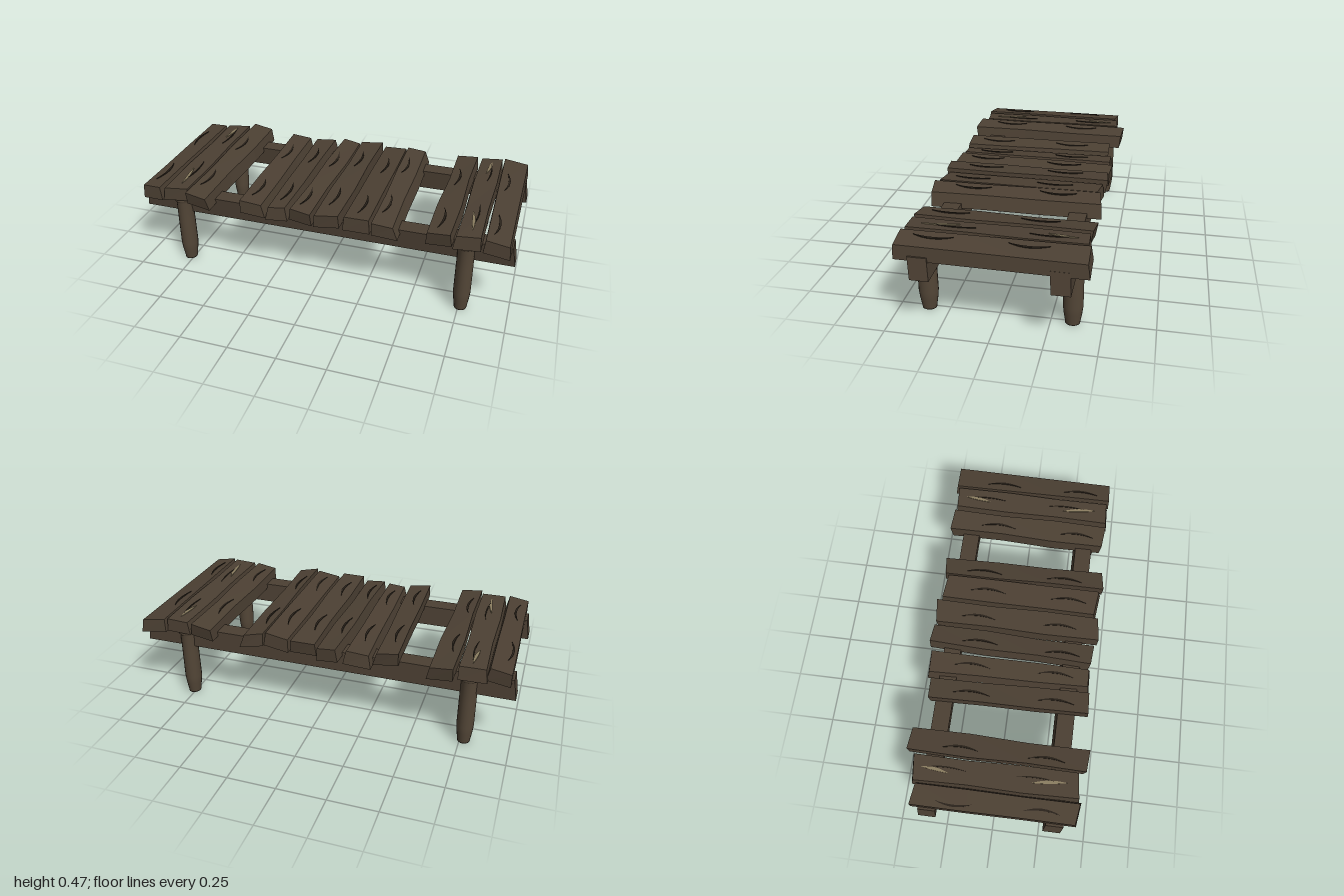
import * as THREE from 'three';

const flat = (name, color, flatShading = true) => {
  const m = new THREE.MeshStandardMaterial({ color, flatShading });
  m.name = name;
  return m;
};

// Back x range and z, front x range and z, top height at left and right edges,
// and the inset of the top face at its left and right edges.
const PLANKS = [
  [-0.97, -0.85, -0.40, -0.97, -0.85, 0.43, 0.455, 0.465, 0, 0.015],
  [-0.86, -0.72, -0.42, -0.85, -0.715, 0.42, 0.462, 0.468, 0.01, 0],
  [-0.70, -0.57, -0.455, -0.705, -0.575, 0.448, 0.468, 0.452, 0, 0.015],
  [-0.42, -0.29, -0.40, -0.405, -0.27, 0.43, 0.465, 0.452, 0, 0.02],
  [-0.29, -0.145, -0.43, -0.27, -0.15, 0.42, 0.442, 0.452, 0.015, 0.015],
  [-0.12, -0.005, -0.44, -0.145, -0.02, 0.42, 0.458, 0.445, 0.012, 0.005],
  [0.0, 0.135, -0.43, 0.0, 0.13, 0.44, 0.46, 0.468, 0.005, 0.005],
  [0.15, 0.29, -0.415, 0.145, 0.29, 0.425, 0.456, 0.468, 0.005, 0.008],
  [0.29, 0.415, -0.43, 0.30, 0.43, 0.44, 0.47, 0.452, 0, 0.025],
  [0.575, 0.705, -0.43, 0.565, 0.695, 0.42, 0.45, 0.464, 0.005, 0.01],
  [0.71, 0.84, -0.425, 0.70, 0.835, 0.43, 0.464, 0.472, 0.012, 0.005],
  [0.84, 0.985, -0.445, 0.845, 0.975, 0.435, 0.472, 0.452, 0.008, 0.008],
];

const lerp = THREE.MathUtils.lerp;

// A rough board: a box whose corners are skewed to its row of measures
function plankGeometry([bl, br, zb, fl, fr, zf, yl, yr, il, ir], i) {
  const g = new THREE.BoxGeometry(1, 1, 1, 1, 1, 3);
  const p = g.attributes.position;
  for (let k = 0; k < p.count; k++) {
    const right = p.getX(k) > 0, top = p.getY(k) > 0, t = p.getZ(k) + 0.5;
    const mid = t > 0.1 && t < 0.9;
    let x = right ? lerp(br, fr, t) : lerp(bl, fl, t);
    if (top) x += right ? -ir : il;
    if (mid) x += 0.005 * Math.sin(i * 2.3 + t * 9) * (right ? 1 : -1);
    let z = lerp(zb, zf, t);
    if (!mid) z += (top ? 0.006 : -0.006) * Math.sin(i * 1.9 + t * 4) + (right ? 0.008 : -0.008) * Math.cos(i * 2.7);
    const y = (right ? yr : yl) - (top ? 0 : 0.07);
    p.setXYZ(k, x, y, z);
  }
  return g;
}

// Thin bent sliver, pointed at both ends
function sliverGeometry(length, width, bend) {
  const s = new THREE.Shape();
  const h = length / 2;
  s.moveTo(0, -h);
  s.quadraticCurveTo(bend + width, 0, 0, h);
  s.quadraticCurveTo(bend - width, 0, 0, -h);
  const g = new THREE.ExtrudeGeometry(s, { depth: 0.005, bevelEnabled: false, curveSegments: 8 });
  return g.rotateX(-Math.PI / 2);
}

export function createModel() {
  const model = new THREE.Group();
  model.name = 'plankPlatform';
  const wood = flat('plank brown', 0x4c4033);
  const beamWood = flat('beam brown', 0x4c4033);
  const postWood = flat('post brown', 0x534637, false);
  const dark = flat('dark grain', 0x29221a);
  const pale = flat('pale split wood', 0x8a7d60);

  const add = (parent, name, geometry, material) => {
    const mesh = new THREE.Mesh(geometry, material);
    mesh.name = name;
    parent.add(mesh);
    return mesh;
  };

  // Long beams with slanted ends
  for (const side of [1, -1]) {
    const g = new THREE.BoxGeometry(2, 0.105, 0.09);
    const p = g.attributes.position;
    for (let k = 0; k < p.count; k++) {
      const top = p.getY(k) > 0;
      p.setX(k, p.getX(k) * (top ? 0.982 : 1));
      p.setY(k, top ? 0.405 : 0.297);
      p.setZ(k, p.getZ(k) + (side > 0 ? 0.312 + (top ? 0.008 : -0.002) : -0.327 + (top ? 0.004 : -0.002)));
    }
    add(model, side > 0 ? 'frontBeam' : 'backBeam', g, beamWood);
  }

  // Round posts tapering to the foot, with a slightly flared head
  const profile = [[0, 0], [0.036, 0], [0.036, 0.004], [0.045, 0.06], [0.049, 0.1], [0.048, 0.25],
    [0.047, 0.365], [0.056, 0.375], [0.056, 0.39], [0, 0.39]].map(([r, y]) => new THREE.Vector2(r, y));
  for (const x of [-0.77, 0.76]) for (const z of [-0.355, 0.355]) {
    const post = add(model, 'post', new THREE.LatheGeometry(profile, 20), postWood);
    post.scale.x = 0.9;
    post.position.set(x, 0, z);
  }

  // Planks with grain cracks and pale splits
  PLANKS.forEach((row, i) => {
    const [bl, br, , fl, fr, , yl, yr, il, ir] = row;
    const group = new THREE.Group();
    group.name = 'plank' + (i + 1);
    model.add(group);
    add(group, 'board', plankGeometry(row, i), wood);

    // Lays a sliver on the tilted top at u across the board
    const lay = (name, u, z, length, width, bend, material) => {
      const t = (z + 0.43) / 0.86;
      const x0 = lerp(bl, fl, t) + il, x1 = lerp(br, fr, t) - ir;
      const m = add(group, name, sliverGeometry(length, width, bend), material);
      m.position.set(lerp(x0, x1, u), lerp(yl, yr, u) - 0.001, z);
      m.rotation.z = Math.atan2(yr - yl, x1 - x0);
      return m;
    };
    const split = i === 1 || i === 10;
    for (const end of [-1, 1]) {
      const z = end < 0 ? -0.19 : 0.25;
      const u = 0.35 + 0.1 * Math.sin(i * 2.1);
      if (split) {
        lay('paleSplit', 0.47, end < 0 ? -0.305 : 0.27, end < 0 ? 0.14 : 0.18, 0.016, 0.008, pale).rotation.y = end * 0.12;
        lay('grain', 0.55, end < 0 ? -0.25 : 0.2, 0.2, 0.007, 0.02, dark);
      } else {
        lay('grain', u, z + 0.02 * Math.sin(i * 3), 0.19, 0.011, (i === 0 && end < 0 ? -1 : 1) * 0.035, dark);
      }
    }
  });
  return model;
}
